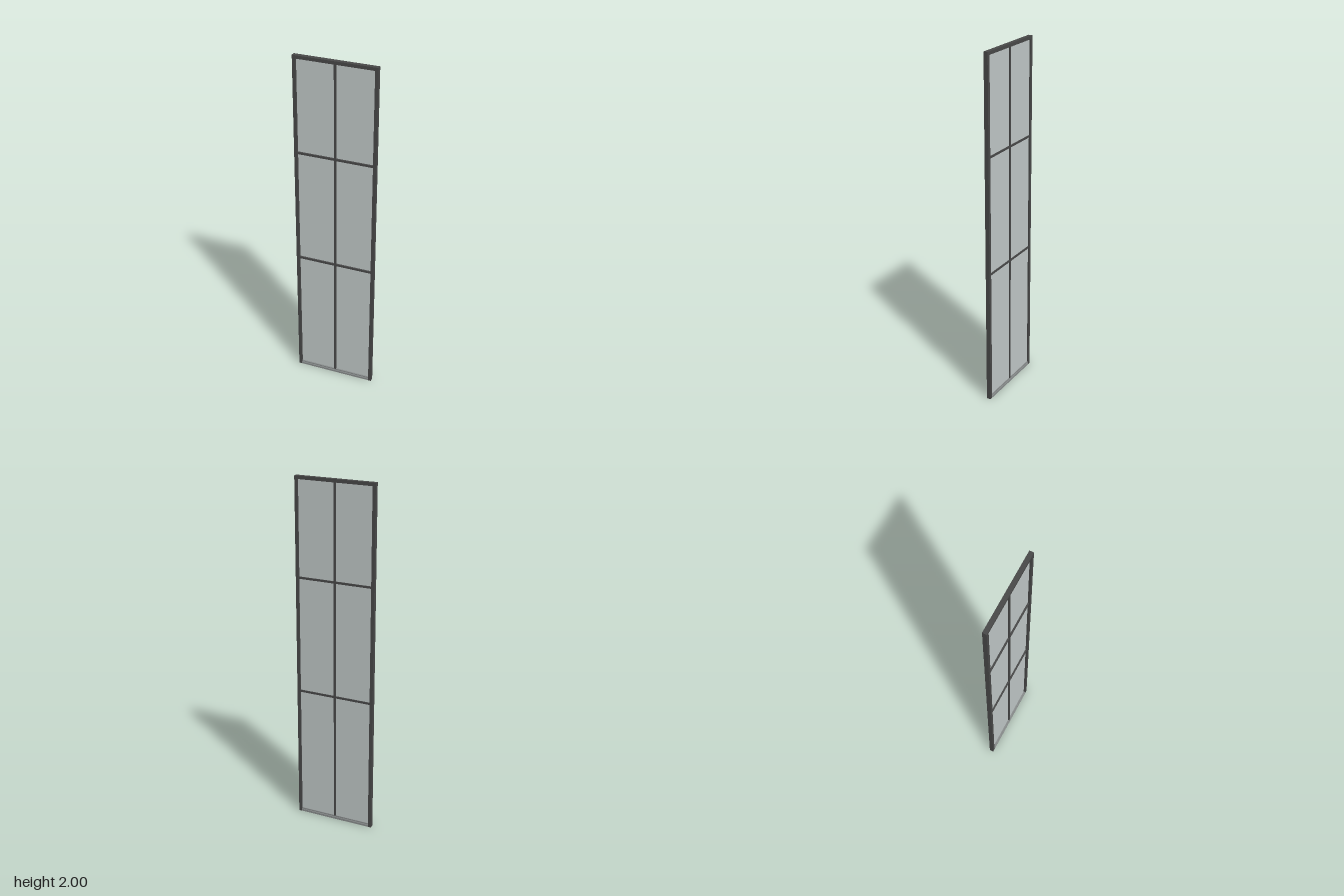
import * as THREE from 'three';

const W = 0.464, H = 2, D = 0.024, T = 0.018;

export function createModel() {
  const group = new THREE.Group();
  const metal = new THREE.MeshStandardMaterial({ color: 0x4a4a4a });
  const sillGrey = new THREE.MeshStandardMaterial({ color: 0x8c9090 });
  const glass = new THREE.MeshStandardMaterial({ color: 0xc4cccb });

  const box = (name, w, h, d, x, y, z, material = metal) => {
    const mesh = new THREE.Mesh(new THREE.BoxGeometry(w, h, d), material);
    mesh.name = name;
    mesh.position.set(x, y, z);
    group.add(mesh);
  };

  // Outer frame: two stiles and a top rail
  for (const [side, name] of [[1, 'leftStile'], [-1, 'rightStile']]) {
    box(name, T, H, D, side * (W - T) / 2, H / 2, 0);
  }
  box('topRail', W - 2 * T, T, D, 0, H - T / 2, 0);

  // Paler bottom rail with a small stepped bead
  box('bottomRail', W - 2 * T, 0.012, D, 0, 0.006, 0, sillGrey);
  box('bottomBead', W - 2 * T, 0.008, D * 0.6, 0, 0.016, 0, sillGrey);

  // Glass pane
  box('glassPane', W - 2 * T, H - T - 0.02, 0.004, 0, (H - T + 0.02) / 2, -0.002, glass);

  // Glazing bars
  box('verticalBar', 0.011, H - T - 0.02, 0.018, 0, (H - T + 0.02) / 2, 0);
  for (const y of [0.777, 1.445]) {
    box('horizontalBar', W - 2 * T, 0.012, 0.0175, 0, y, 0);
  }
  return group;
}
